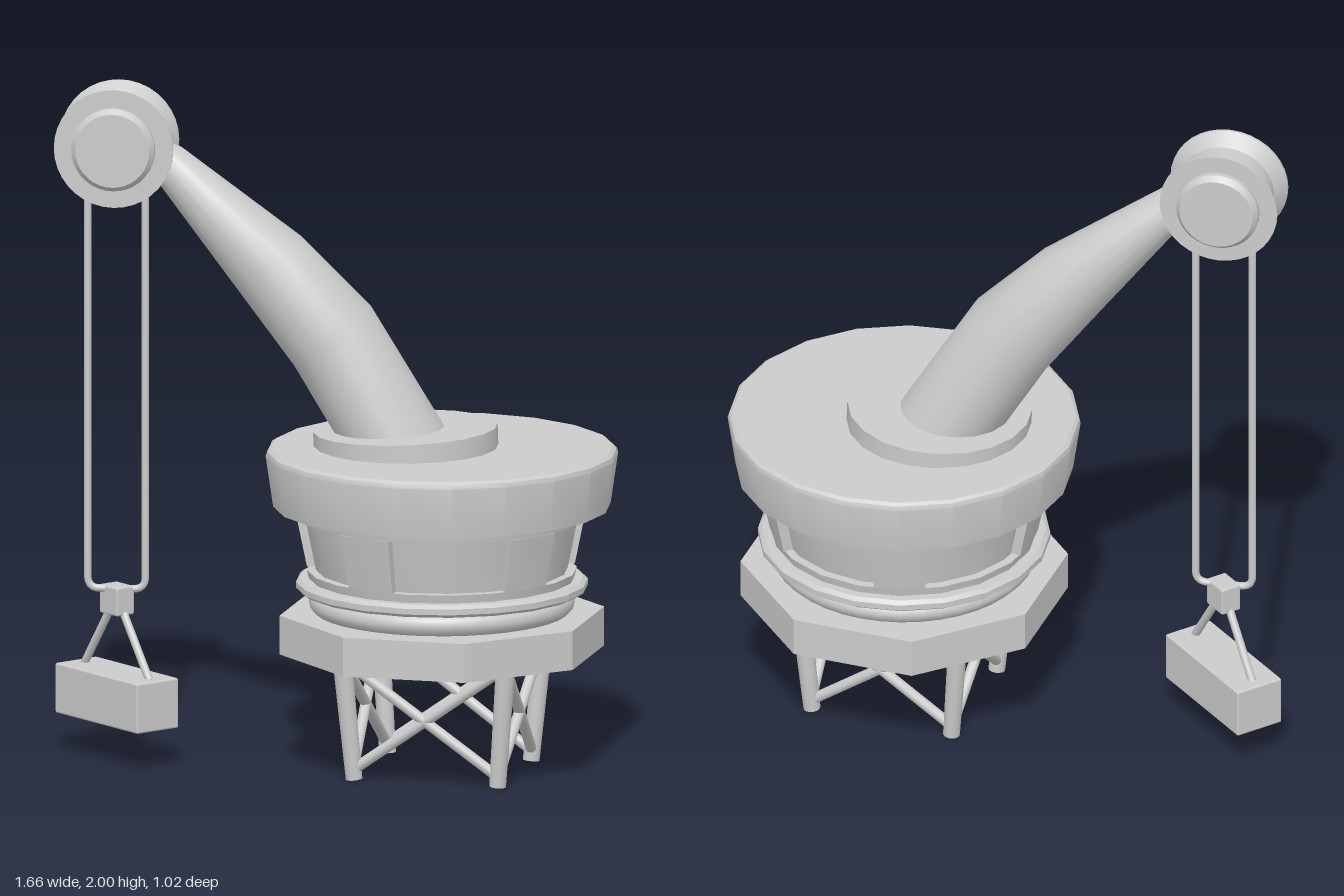
import * as THREE from 'three';
import { toCreasedNormals } from 'three/addons/utils/BufferGeometryUtils.js';
import { RoundedBoxGeometry } from 'three/addons/geometries/RoundedBoxGeometry.js';

const V = (x, y, z) => new THREE.Vector3(x, y, z);
const DEG = Math.PI / 180;

export function createModel() {
  const model = new THREE.Group();
  model.name = 'pedestalCrane';
  const mat = new THREE.MeshStandardMaterial({ color: 0xcccccc });
  const thin = new THREE.MeshStandardMaterial({ color: 0xcccccc, side: THREE.DoubleSide });

  const add = (name, geo, parent = model, material = mat) => {
    const mesh = new THREE.Mesh(geo, material);
    mesh.name = name;
    parent.add(mesh);
    return mesh;
  };
  const group = (name, x, y, z, parent = model) => {
    const g = new THREE.Group();
    g.name = name;
    g.position.set(x, y, z);
    parent.add(g);
    return g;
  };
  const lathe = (pts, sides, start = 0, length = Math.PI * 2) => toCreasedNormals(
    new THREE.LatheGeometry(pts.map(p => new THREE.Vector2(...p)), sides, start, length), 0.5);
  // Round bar between two points
  const bar = (name, a, b, rA, rB, parent) => {
    const dir = b.clone().sub(a);
    const m = add(name, new THREE.CylinderGeometry(rB, rA, dir.length(), 12), parent);
    m.position.copy(a).add(b).multiplyScalar(0.5);
    m.quaternion.setFromUnitVectors(V(0, 1, 0), dir.normalize());
    return m;
  };

  // Legs with crossed braces on each side
  const legs = group('legFrame', 0.325, 0, 0.03);
  const corners = [[1, 1], [1, -1], [-1, -1], [-1, 1]];
  const foot = ([sx, sz]) => V(sx * 0.215, 0.008, sz * 0.193);
  const head = ([sx, sz]) => V(sx * 0.252, 0.455, sz * 0.222);
  corners.forEach((c, i) => {
    const next = corners[(i + 1) % 4];
    bar('leg', foot(c), head(c), 0.025, 0.03, legs);
    const low = 0.06, high = 0.8;
    for (const [p, q] of [[c, next], [next, c]]) {
      bar('crossBrace', foot(p).lerp(head(p), low), foot(q).lerp(head(q), high), 0.016, 0.016, legs);
    }
  });

  // Eight-sided platform, hollow underneath
  const house = group('house', 0.315, 0, 0);
  add('platform', lathe([[0, 0.45], [0.45, 0.45], [0.45, 0.355], [0.475, 0.355],
    [0.475, 0.47], [0, 0.47]], 8, 22.5 * DEG), house);

  // Bearing ring under the cab
  const ring = add('bearingRing', new THREE.TorusGeometry(0.352, 0.034, 12, 40), house);
  ring.rotation.x = Math.PI / 2;
  ring.position.y = 0.502;

  // Cab with flange, recessed window wall and overhanging roof
  add('cab', lathe([[0.35, 0.46], [0.35, 0.535], [0.41, 0.535], [0.424, 0.545], [0.424, 0.562],
    [0.412, 0.572], [0.386, 0.572], [0.392, 0.597], [0.366, 0.597], [0.398, 0.757],
    [0.425, 0.757], [0.43, 0.785], [0.49, 0.785], [0.512, 0.935], [0.508, 0.948],
    [0.498, 0.955], [0, 0.957]], 20), house);

  // Pillars between the five windows
  const pillar = [[0.35, 0.597], [0.392, 0.597], [0.425, 0.757], [0.38, 0.757]];
  const pillarShape = new THREE.Shape(pillar.map(p => new THREE.Vector2(...p)));
  for (let i = 0; i < 5; i++) {
    const mid = (54 + i * 72) * DEG, half = 11 * DEG;
    add('windowPillar', lathe(pillar, 2, mid - half, half * 2), house);
    for (const a of [mid - half, mid + half]) {
      add('pillarSide', new THREE.ShapeGeometry(pillarShape).rotateY(a - Math.PI / 2), house, thin);
    }
  }

  // Slightly tilted turntable
  const table = add('turntable', toCreasedNormals(new THREE.CylinderGeometry(0.268, 0.268, 0.08, 20), 0.5));
  table.position.set(0.207, 0.967, 0);
  table.rotation.z = 0.04;

  // Boom: rings from tip to root, each with centre, radius and direction
  const stations = [
    [V(-0.54, 1.812, 0.1), 0.045, V(-0.85, 0.5, 0.12)],
    [V(-0.478, 1.77, 0.09), 0.062, V(-0.82, 0.55, 0.12)],
    [V(-0.19, 1.49, 0.055), 0.122, V(-0.57, 0.81, 0.11)],
    [V(-0.005, 1.275, 0.03), 0.143, V(-0.6, 0.8, 0.11)],
    [V(0.172, 0.98, 0.005), 0.166, V(0, 1, 0)],
  ];
  const rows = stations.length - 1;
  const boom = new THREE.CylinderGeometry(1, 1, 1, 18, rows, true);
  const pos = boom.attributes.position;
  for (let i = 0; i < pos.count; i++) {
    const v = V(0, 0, 0).fromBufferAttribute(pos, i);
    const [centre, r, dir] = stations[Math.round((0.5 - v.y) * rows)];
    const q = new THREE.Quaternion().setFromUnitVectors(V(0, 1, 0), dir.clone().normalize());
    v.setY(0).multiplyScalar(r).applyQuaternion(q).add(centre);
    pos.setXYZ(i, v.x, v.y, v.z);
  }
  add('boom', toCreasedNormals(boom, 0.8), model, thin);

  // Grooved pulley wheel at the boom tip, with a hub cap on both faces
  const tip = group('boomTip', -0.63, 1.827, 0.113);
  tip.rotation.y = 0.14;
  const pulley = add('pulley', lathe([[0, -0.112], [0.108, -0.112], [0.122, -0.095], [0.122, -0.08],
    [0.174, -0.08], [0.174, -0.072], [0.142, -0.03], [0.142, 0.03], [0.174, 0.072], [0.174, 0.08],
    [0.122, 0.08], [0.122, 0.095], [0.108, 0.112], [0, 0.112]], 36), tip);
  pulley.rotation.x = Math.PI / 2;

  // Rope loop hanging from the pulley
  const w = 0.084, low = -1.317, r = 0.035;
  const rope = new THREE.CurvePath();
  rope.add(new THREE.LineCurve3(V(-w, 0, 0), V(-w, low + r, 0)));
  rope.add(new THREE.QuadraticBezierCurve3(V(-w, low + r, 0), V(-w, low, 0), V(-w + r, low, 0)));
  rope.add(new THREE.LineCurve3(V(-w + r, low, 0), V(w - r, low, 0)));
  rope.add(new THREE.QuadraticBezierCurve3(V(w - r, low, 0), V(w, low, 0), V(w, low + r, 0)));
  rope.add(new THREE.LineCurve3(V(w, low + r, 0), V(w, 0, 0)));
  add('rope', new THREE.TubeGeometry(rope, 240, 0.011, 10), tip);

  // Hook block, slings and load
  const load = group('load', -0.63, 0, 0.11);
  load.rotation.y = -0.66;
  add('hookBlock', new RoundedBoxGeometry(0.085, 0.085, 0.065, 2, 0.006), load).position.y = 0.478;
  for (const s of [-1, 1]) {
    bar('sling', V(s * 0.155, 0.262, 0), V(s * 0.02, 0.46, 0), 0.012, 0.012, load);
  }
  add('crate', new RoundedBoxGeometry(0.392, 0.148, 0.152, 2, 0.006), load).position.y = 0.193;

  return model;
}
